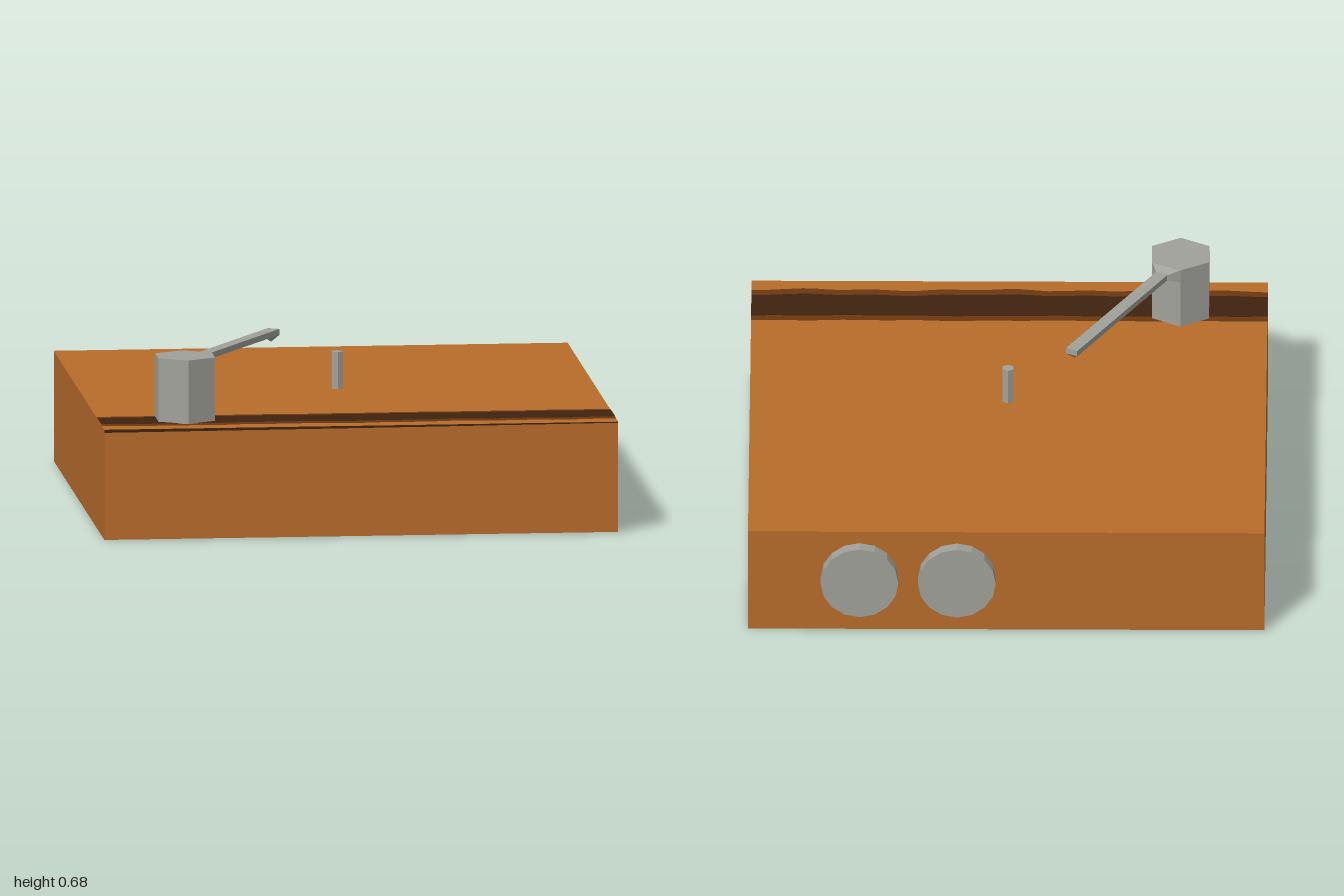
import * as THREE from 'three';

const flat = (name, color) => {
  const m = new THREE.MeshStandardMaterial({ color });
  m.name = name;
  m.flatShading = true;
  return m;
};

export function createModel() {
  const wood = flat('wood', 0xb86c2a);
  const midBrown = flat('middle brown', 0x6b3710);
  const darkBrown = flat('dark brown', 0x3f220f);
  const metal = flat('grey metal', 0xa1a19b);

  const model = new THREE.Group();
  model.name = 'recordPlayer';
  const add = (parent, name, geometry, material, x = 0, y = 0, z = 0) => {
    const mesh = new THREE.Mesh(geometry, material);
    mesh.name = name;
    mesh.position.set(x, y, z);
    parent.add(mesh);
    return mesh;
  };

  // Wooden case
  const W = 0.995, TOP = 0.43, MID_Z = 0.025;
  add(model, 'case', new THREE.BoxGeometry(2 * W, TOP, 1.95), wood, 0, TOP / 2, MID_Z);

  // Flat painted band between two slightly ragged edges
  const band = (z0, z1, wobble0, wobble1) => {
    const n = 40, points = [];
    const ragged = (x, s) => Math.round(2 * (Math.sin(9 * x + s) + Math.sin(23 * x + 2 * s))) / 4;
    const edge = (z, wobble, s, i) => {
      const x = -W + (2 * W * i) / n;
      points.push(new THREE.Vector2(x, -(z + wobble * ragged(x, s))));
    };
    for (let i = 0; i <= n; i++) edge(z1, wobble1, 1, i);
    for (let i = n; i >= 0; i--) edge(z0, wobble0, 3, i);
    return new THREE.ShapeGeometry(new THREE.Shape(points)).rotateX(-Math.PI / 2);
  };

  // Wood grain bands: near the front on top, near the back underneath
  for (const [name, turn] of [['topGrain', 0], ['bottomGrain', Math.PI]]) {
    const grain = new THREE.Group();
    grain.name = name;
    grain.position.set(0, TOP / 2, MID_Z);
    grain.rotation.x = turn;
    const h = TOP / 2;
    add(grain, 'outerBand', band(0.693 - MID_Z, 0.93 - MID_Z, 0.004, 0.01), midBrown, 0, h + 0.0015, 0);
    add(grain, 'innerBand', band(0.727 - MID_Z, 0.888 - MID_Z, 0.004, 0.008), darkBrown, 0, h + 0.003, 0);
    model.add(grain);
  }

  // Tapering dark line along the top of the front face
  const line = new THREE.Shape([
    new THREE.Vector2(-W, 0.418), new THREE.Vector2(0.2, 0.422),
    new THREE.Vector2(W, 0.426), new THREE.Vector2(W, TOP), new THREE.Vector2(-W, TOP),
  ]);
  add(model, 'frontLine', new THREE.ShapeGeometry(line), darkBrown, 0, 0, 1.0015);

  // Spindle
  add(model, 'spindle', new THREE.CylinderGeometry(0.024, 0.024, 0.145, 6), metal, 0, TOP + 0.0725, 0.075);

  // Tonearm: hexagonal post, flared root, straight bar and needle
  const tonearm = new THREE.Group();
  tonearm.name = 'tonearm';
  tonearm.position.set(-0.66, 0, 0.78);
  model.add(tonearm);
  add(tonearm, 'post', new THREE.CylinderGeometry(0.127, 0.127, 0.25, 6), metal, 0, 0.555, 0);

  const arm = new THREE.Group();
  arm.name = 'arm';
  arm.rotation.y = (5 * Math.PI) / 6;
  tonearm.add(arm);

  const root = new THREE.BoxGeometry(0.127, 0.055, 0.037);
  const p = root.attributes.position;
  for (let i = 0; i < p.count; i++) {
    if (p.getZ(i) > 0) p.setXY(i, p.getX(i) * 0.4, p.getY(i) * 0.42);
  }
  add(arm, 'armRoot', root, metal, 0, 0.6525, 0.1265);
  add(arm, 'bar', new THREE.BoxGeometry(0.05, 0.023, 0.69), metal, 0, 0.6535, 0.485);

  const needle = new THREE.ConeGeometry(0.0354, 0.025, 4).rotateY(Math.PI / 4).rotateX(Math.PI);
  add(arm, 'needle', needle, metal, 0, 0.6295, 0.805);

  // Two control knobs on the back
  for (const x of [0.19, 0.565]) {
    const knob = new THREE.CylinderGeometry(0.15, 0.15, 0.05, 16).rotateX(Math.PI / 2);
    add(model, 'knob', knob, metal, x, 0.23, -0.975);
  }

  return model;
}
